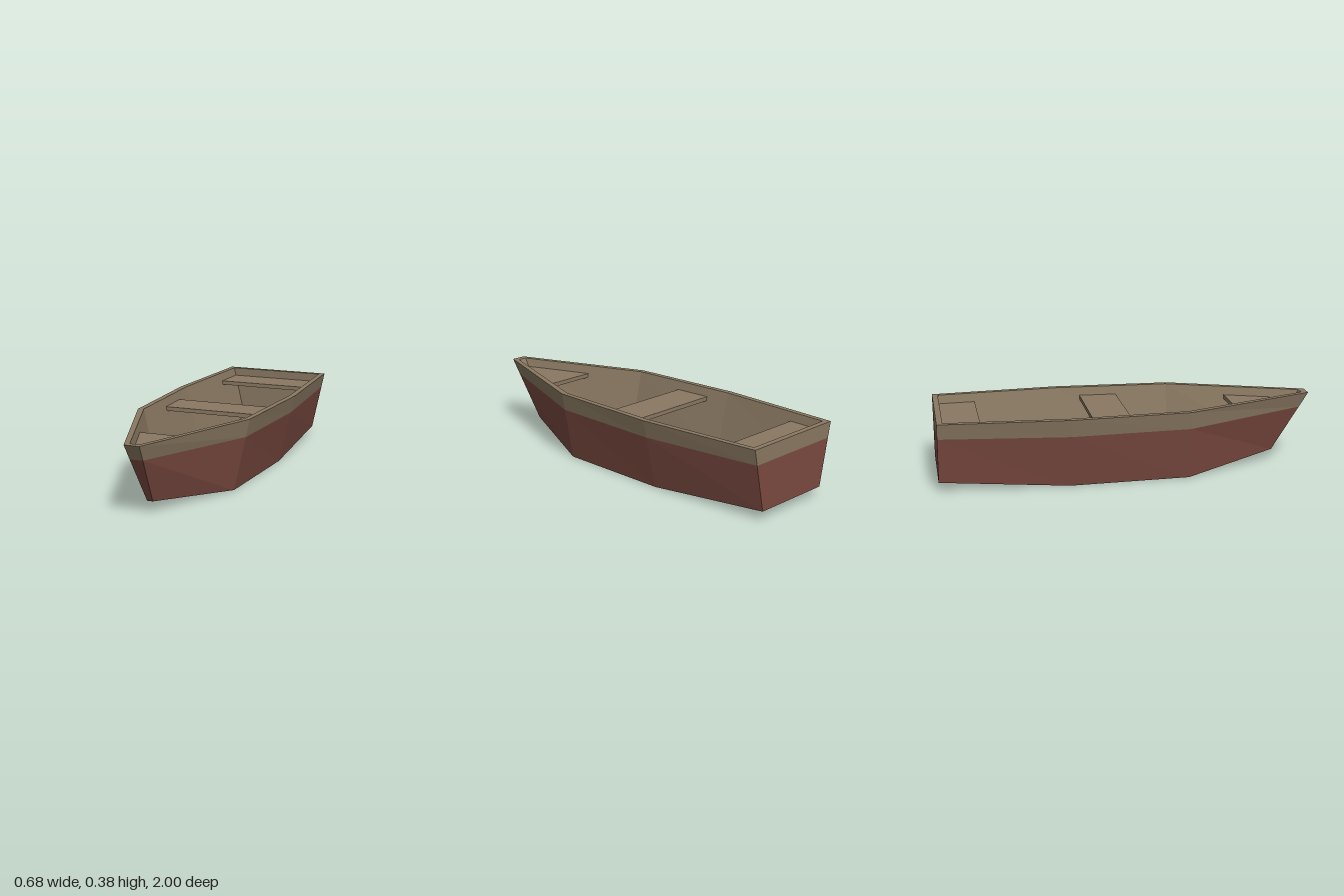
import * as THREE from 'three';

// Cross-section stations from stern to bow: [half width, height, z]
const KEEL = [[0.225, 0.05, -1], [0.25, 0, -0.33], [0.23, 0, 0.3], [0.015, 0.058, 0.81]];
const RIM = [[0.295, 0.375, -1], [0.338, 0.375, -0.33], [0.31, 0.375, 0.29], [0.04, 0.375, 1]];
const INNER_RIM = [[0.268, 0.375, -0.97], [0.307, 0.375, -0.33], [0.281, 0.375, 0.28], [0.025, 0.375, 0.965]];
const FLOOR = [[0.2, 0.08, -0.97], [0.225, 0.03, -0.33], [0.204, 0.03, 0.28], [0.01, 0.088, 0.793]];

// Closed loop round the boat: down the left side, back along the right
const loop = (stations) => [
  ...stations.map(([x, y, z]) => [x, y, z]),
  ...stations.map(([x, y, z]) => [-x, y, z]).reverse(),
];

const blend = (a, b, t) => a.map((p, i) => p.map((v, k) => v + (b[i][k] - v) * t));

// Flat-shaded geometry from quads
function quadGeometry(quads) {
  const pos = [];
  for (const [a, b, c, d] of quads) pos.push(...a, ...b, ...c, ...a, ...c, ...d);
  const g = new THREE.BufferGeometry();
  g.setAttribute('position', new THREE.Float32BufferAttribute(pos, 3));
  g.computeVertexNormals();
  return g;
}

// Band of quads joining two loops
function band(from, to) {
  const a = loop(from), b = loop(to), n = a.length;
  return a.map((p, i) => [p, b[i], b[(i + 1) % n], a[(i + 1) % n]]);
}

// Strip of quads filling a loop from side to side
function cap(stations, faceUp) {
  const l = loop(stations), n = l.length;
  return [0, 1, 2].map((i) => {
    const q = [l[i], l[n - 1 - i], l[n - 2 - i], l[i + 1]];
    return faceUp ? q : q.reverse();
  });
}

// Plank with a trapezium plan, tapering from z0 to z1
function seatGeometry(w0, z0, w1, z1) {
  const plan = new THREE.Shape([[-w0, z0], [w0, z0], [w1, z1], [-w1, z1]].map((p) => new THREE.Vector2(...p)));
  return new THREE.ExtrudeGeometry(plan, { depth: 0.022, bevelEnabled: false }).rotateX(Math.PI / 2);
}

export function createModel() {
  const wood = new THREE.MeshStandardMaterial({ color: 0x8a7962 });
  wood.name = 'weathered wood';
  const red = new THREE.MeshStandardMaterial({ color: 0x7c4b41 });
  red.name = 'red hull paint';

  const boat = new THREE.Group();
  boat.name = 'rowingBoat';
  const add = (name, geometry, material, y = 0) => {
    const mesh = new THREE.Mesh(geometry, material);
    mesh.name = name;
    mesh.position.y = y;
    boat.add(mesh);
  };

  // Outer shell: painted below, bare wood in the top quarter
  const paintLine = blend(KEEL, RIM, 0.75);
  add('paintedHull', quadGeometry([...band(KEEL, paintLine), ...cap(KEEL, false)]), red);
  add('upperHull', quadGeometry(band(paintLine, RIM)), wood);

  // Gunwale and interior
  add('gunwale', quadGeometry(band(RIM, INNER_RIM)), wood);
  add('innerWalls', quadGeometry(band(INNER_RIM, FLOOR)), wood);
  add('floor', quadGeometry(cap(FLOOR, true)), wood);

  // Seats
  add('sternSeat', seatGeometry(0.26, -0.975, 0.268, -0.775), wood, 0.33);
  add('middleSeat', seatGeometry(0.294, -0.2, 0.286, 0), wood, 0.33);
  add('bowSeat', seatGeometry(0.16, 0.58, 0.024, 0.938), wood, 0.33);

  return boat;
}
